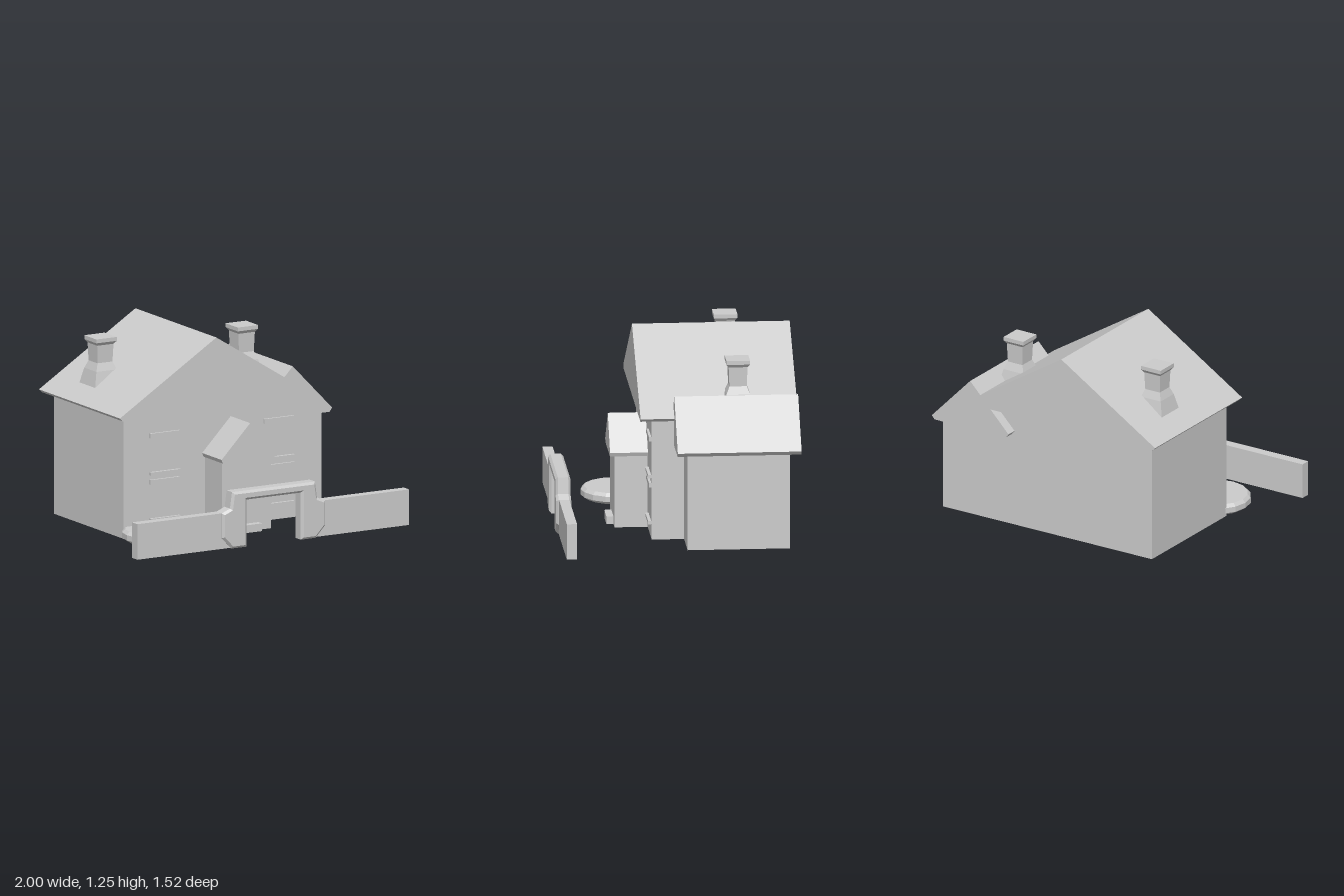
import * as THREE from 'three';

const material = new THREE.MeshStandardMaterial({ color: 0xcccccc, flatShading: true });

function add(parent, name, geometry) {
  const mesh = new THREE.Mesh(geometry, material);
  mesh.name = name;
  parent.add(mesh);
  return mesh;
}

// Box given by its two opposite corners
function box(parent, name, [x0, y0, z0], [x1, y1, z1]) {
  const g = new THREE.BoxGeometry(x1 - x0, y1 - y0, z1 - z0);
  g.translate((x0 + x1) / 2, (y0 + y1) / 2, (z0 + z1) / 2);
  return add(parent, name, g);
}

// Outline in x, y extruded from z0 to z1, with an optional chamfer kept inside the outline
function prism(parent, name, points, z0, z1, chamfer = 0) {
  const shape = new THREE.Shape(points.map(([x, y]) => new THREE.Vector2(x, y)));
  const g = new THREE.ExtrudeGeometry(shape, {
    depth: z1 - z0 - 2 * chamfer, bevelEnabled: chamfer > 0,
    bevelSize: chamfer, bevelThickness: chamfer, bevelOffset: -chamfer, bevelSegments: 1,
  });
  g.translate(0, 0, z0 + chamfer);
  return add(parent, name, g);
}

// Square lathe: a flared base, a straight shaft and a wider cap
function chimney(parent, name, x, z, base, top) {
  const profile = [
    [0, base - 0.12], [0.105, base - 0.1], [0.075, base + 0.03], [0.055, base + 0.08],
    [0.06, top - 0.045], [0.075, top - 0.025], [0.075, top], [0, top],
  ].map(([half, y]) => new THREE.Vector2(half * Math.SQRT2, y));
  const g = new THREE.LatheGeometry(profile, 4);
  g.rotateY(Math.PI / 4);
  g.translate(x, 0, z);
  add(parent, name, g);
}

export function createModel() {
  const model = new THREE.Group();
  model.name = 'house';

  // Walls
  box(model, 'mainWalls', [-0.76, 0.01, -0.69], [0.53, 0.81, 0.165]);
  box(model, 'annexWalls', [0.5, 0.01, -0.69], [0.82, 0.65, -0.04]);

  // Gabled roofs
  prism(model, 'mainRoof',
    [[-0.81, 0.79], [0.57, 0.79], [0.59, 0.81], [-0.12, 1.255], [-0.83, 0.81]], -0.76, 0.24);
  prism(model, 'annexRoof',
    [[0.3, 0.625], [0.84, 0.625], [0.86, 0.65], [0.57, 0.95], [0.28, 0.65]], -0.76, 0.025);

  // Chimneys
  chimney(model, 'rightChimney', -0.6, -0.385, 0.96, 1.2);
  chimney(model, 'leftChimney', 0.44, -0.385, 0.91, 1.16);

  // Porch with its own small gable
  const porch = new THREE.Group();
  porch.name = 'porch';
  model.add(porch);
  box(porch, 'porchWalls', [-0.16, 0.01, 0.1], [0.2, 0.5, 0.375]);
  prism(porch, 'porchRoof',
    [[-0.17, 0.475], [0.21, 0.475], [0.22, 0.5], [0.03, 0.715], [-0.18, 0.5]], 0.1, 0.405);
  box(porch, 'doorStep', [-0.06, 0.01, 0.3], [0.11, 0.06, 0.42]);

  // Shallow window sills and hoods on the front wall
  for (const x of [-0.46, 0.38]) {
    for (const y of [0.12, 0.42]) {
      box(model, 'windowSill', [x - 0.11, y - 0.02, 0.15], [x + 0.11, y, 0.185]);
      box(model, 'windowHood', [x - 0.11, y + 0.22, 0.15], [x + 0.11, y + 0.25, 0.18]);
    }
  }

  // Round garden bed
  const bed = add(model, 'gardenBed', new THREE.LatheGeometry(
    [[0, 0.01], [0.2, 0.01], [0.23, 0.03], [0.23, 0.065], [0.21, 0.085], [0, 0.085]]
      .map(([r, y]) => new THREE.Vector2(r, y)), 16));
  bed.position.set(-0.585, 0, 0.3);

  // Garden wall and gateway
  const fence = new THREE.Group();
  fence.name = 'gardenWall';
  model.add(fence);
  for (const s of [-1, 1]) {
    const x = [s * 1, s * 0.28];
    box(fence, 'wallPanel', [Math.min(...x), 0.01, 0.675], [Math.max(...x), 0.24, 0.74]);
  }
  const half = [[0.2, 0.31], [0.2, 0.005], [0.31, 0.005], [0.38, 0.08], [0.38, 0.24], [0.32, 0.265], [0.305, 0.37]];
  const mirrored = half.map(([x, y]) => [-x, y]).reverse();
  prism(fence, 'gateway', [...half, ...mirrored], 0.662, 0.758, 0.015);

  return model;
}
